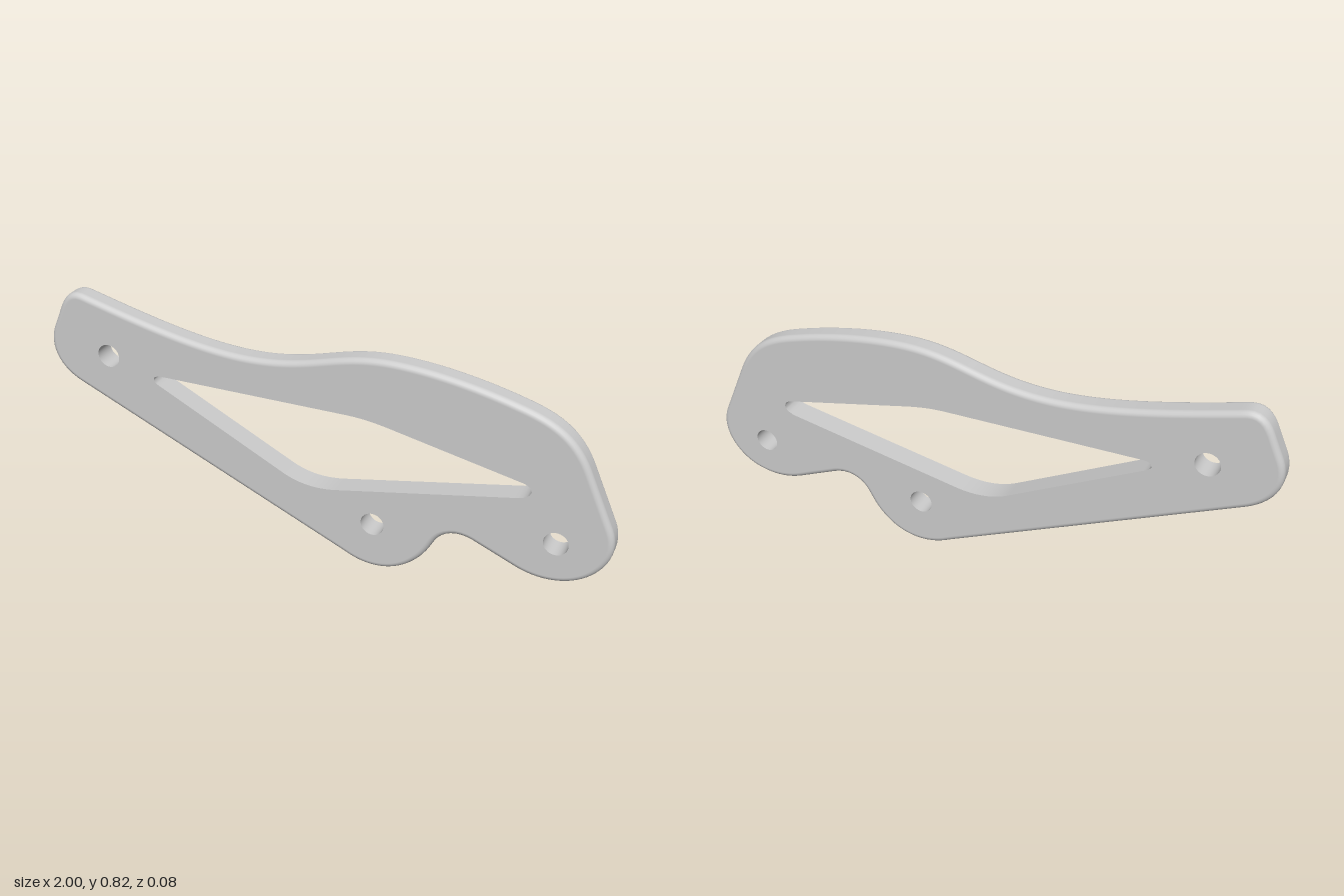
import * as THREE from 'three';

const HALF = 0.04;    // half the plate thickness
const FILLET = 0.02;  // rounding of the outer edge

// Path from a start point and segments: 2 numbers = line, 6 = bezier
function makePath(start, segments) {
  const path = new THREE.Path().moveTo(...start);
  for (const s of segments) s.length === 2 ? path.lineTo(...s) : path.bezierCurveTo(...s);
  return path;
}

// Evenly spaced closed loop, with the normal on the right of its direction
function sampleLoop(path, count) {
  const pts = path.getSpacedPoints(count).slice(0, count);
  return pts.map((p, i) => {
    const t = pts[(i + 1) % count].clone().sub(pts[(i + count - 1) % count]).normalize();
    return { p, n: new THREE.Vector2(t.y, -t.x) };
  });
}

const offset = (loop, d) => loop.map(({ p, n }) => p.clone().addScaledVector(n, d));

// Sweep a profile of { d: offset, z, nr, nz } rows around a loop
function wall(loop, profile) {
  const pos = [], nor = [], index = [];
  const rows = profile.length, count = loop.length;
  for (const { p, n } of loop) {
    for (const { d, z, nr, nz } of profile) {
      pos.push(p.x + n.x * d, p.y + n.y * d, z);
      nor.push(n.x * nr, n.y * nr, nz);
    }
  }
  for (let i = 0; i < count; i++) {
    for (let j = 0; j < rows - 1; j++) {
      const a = i * rows + j, b = ((i + 1) % count) * rows + j;
      index.push(a, b, a + 1, b, b + 1, a + 1);
    }
  }
  const g = new THREE.BufferGeometry();
  g.setAttribute('position', new THREE.Float32BufferAttribute(pos, 3));
  g.setAttribute('normal', new THREE.Float32BufferAttribute(nor, 3));
  g.setIndex(index);
  return g;
}

export function createModel() {
  const group = new THREE.Group();
  group.name = 'bracketPlate';
  const material = new THREE.MeshStandardMaterial({ color: 0xcccccc });
  const add = (name, geometry) => {
    const mesh = new THREE.Mesh(geometry, material);
    mesh.name = name;
    group.add(mesh);
    return mesh;
  };

  // Outer outline, counterclockwise
  const outline = sampleLoop(makePath([-0.9, 0.48], [
    [0.1, 0.03],
    [0.18, -0.014, 0.28, -0.014, 0.355, 0.06],
    [0.41, 0.11, 0.41, 0.16, 0.45, 0.185],
    [0.48, 0.205, 0.515, 0.205, 0.55, 0.19],
    [0.69, 0.13],
    [0.78, 0.09, 0.88, 0.105, 0.94, 0.16],
    [0.995, 0.21, 1.015, 0.28, 0.985, 0.345],
    [0.9, 0.535],
    [0.85, 0.64, 0.78, 0.68, 0.67, 0.71],
    [0.55, 0.745, 0.39, 0.776, 0.25, 0.776],
    [0.06, 0.776, -0.02, 0.698, -0.25, 0.698],
    [-0.44, 0.698, -0.68, 0.765, -0.86, 0.813],
    [-0.91, 0.825, -0.935, 0.79, -0.95, 0.758],
    [-0.985, 0.68],
    [-1.018, 0.61, -0.995, 0.525, -0.9, 0.48],
  ]), 260);

  // Long window, clockwise
  const windowLoop = sampleLoop(makePath([-0.57, 0.565], [
    [0.1, 0.562],
    [0.17, 0.562, 0.22, 0.552, 0.275, 0.54],
    [0.7, 0.449],
    [0.745, 0.438, 0.735, 0.403, 0.69, 0.393],
    [0.09, 0.275],
    [0.01, 0.257, -0.06, 0.262, -0.125, 0.297],
    [-0.585, 0.532],
    [-0.61, 0.546, -0.6, 0.565, -0.57, 0.565],
  ]), 200);

  // Bolt holes, clockwise
  const boltLoops = [[-0.77, 0.605], [0.205, 0.17], [0.82, 0.255]].map(([x, y]) =>
    sampleLoop(new THREE.Path().absarc(x, y, 0.041, 0, -Math.PI * 2, true), 40));

  // Outer rim with rounded edges
  const rimProfile = [];
  for (const side of [-1, 1]) {
    for (let k = 0; k <= 5; k++) {
      const a = (side < 0 ? 5 - k : k) / 5 * Math.PI / 2;
      const c = Math.cos(a), s = Math.sin(a);
      rimProfile.push({ d: FILLET * (c - 1), z: side * (HALF - FILLET + FILLET * s), nr: c, nz: side * s });
    }
  }
  add('outerRim', wall(outline, rimProfile));

  // Straight walls of the openings
  const straight = [-HALF, HALF].map(z => ({ d: 0, z, nr: 1, nz: 0 }));
  add('windowWall', wall(windowLoop, straight));
  boltLoops.forEach((loop, i) => add('boltHoleWall' + (i + 1), wall(loop, straight)));

  // Flat faces
  const face = new THREE.Shape(offset(outline, -FILLET));
  face.holes = [windowLoop, ...boltLoops].map(loop => new THREE.Path(offset(loop, 0)));
  const front = new THREE.ShapeGeometry(face);
  const back = front.clone();
  back.index.array.reverse();
  back.scale(1, 1, -1);
  back.computeVertexNormals();
  add('frontFace', front).position.z = HALF;
  add('backFace', back).position.z = -HALF;

  return group;
}
